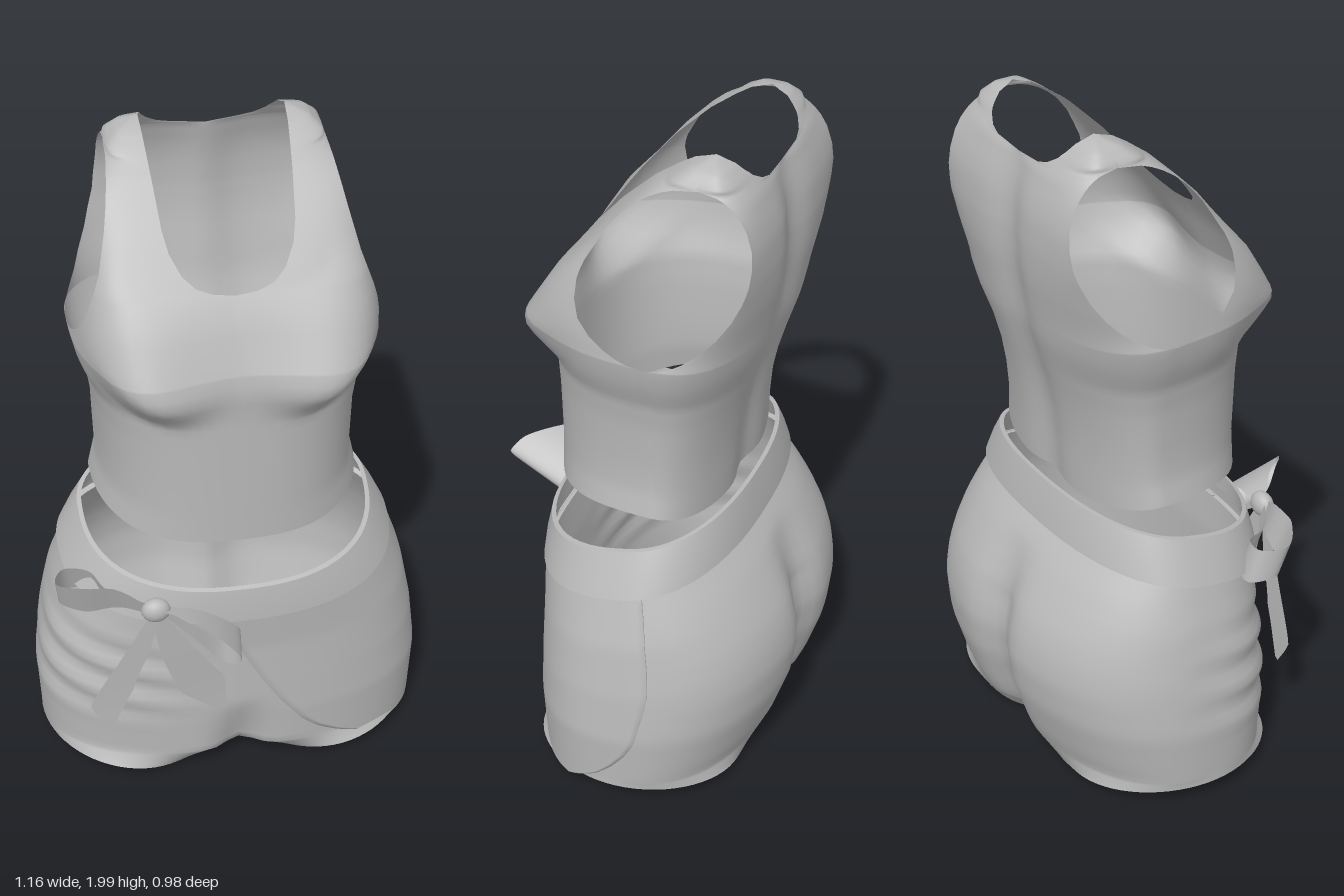
import * as THREE from 'three';
import { mergeVertices, mergeGeometries, toCreasedNormals } from 'three/addons/utils/BufferGeometryUtils.js';

const { sin, cos, abs, pow, exp, sqrt, min, max, atan2, PI } = Math;
const clamp = (v) => min(1, max(0, v));
const bell = (d, s) => exp(-((d / s) ** 2));

// Piecewise-linear lookup in a list of [key, value] pairs
function lookup(table, k) {
  if (k <= table[0][0]) return table[0][1];
  for (let i = 1; i < table.length; i++) {
    const [k0, v0] = table[i - 1], [k1, v1] = table[i];
    if (k <= k1) return v0 + (v1 - v0) * (k - k0) / (k1 - k0);
  }
  return table[table.length - 1][1];
}

// Unit superellipse point: angle 0 is the front, PI / 2 the side
function oval(a, n) {
  const s = sin(a), c = cos(a), r = pow(pow(abs(s), n) + pow(abs(c), n), 1 / n);
  return [s / r, c / r];
}

// Grid surface through fn(column, row) -> [x, y, z]
function surface(cols, rows, fn, flip = false) {
  const pos = [], index = [];
  for (let j = 0; j <= rows; j++) for (let i = 0; i <= cols; i++) pos.push(...fn(i, j));
  for (let j = 0; j < rows; j++) for (let i = 0; i < cols; i++) {
    const a = j * (cols + 1) + i, b = a + 1, d = a + cols + 1, c = d + 1;
    index.push(...(flip ? [a, c, b, a, d, c] : [a, b, c, a, c, d]));
  }
  const g = new THREE.BufferGeometry();
  g.setAttribute('position', new THREE.Float32BufferAttribute(pos, 3));
  g.setIndex(index);
  return g;
}

function smooth(list) {
  const g = mergeVertices(mergeGeometries(list), 1e-4);
  g.computeVertexNormals();
  return g;
}

// ---- Tank top ----
// Half width at the side or armhole edge, for front and back
const SIDE_F = [[0.89, 0.385], [1, 0.365], [1.2, 0.37], [1.3, 0.385], [1.38, 0.415], [1.45, 0.43], [1.5, 0.42],
  [1.6, 0.39], [1.7, 0.355], [1.8, 0.33], [1.9, 0.308], [1.95, 0.295], [1.98, 0.26], [2, 0.2]];
const SIDE_B = [...SIDE_F.slice(0, 6), [1.5, 0.39], [1.6, 0.345], [1.7, 0.315], [1.8, 0.303], [1.9, 0.298], ...SIDE_F.slice(11)];
const TOP_F = [[0.89, 0.23], [1.3, 0.235], [1.4, 0.24], [1.45, 0.23], [1.6, 0.165], [1.7, 0.1], [1.8, 0.02],
  [1.9, -0.08], [1.95, -0.145], [1.98, -0.19], [2, -0.25]];
const TOP_B = [[0.89, -0.285], [1.1, -0.3], [1.2, -0.32], [1.4, -0.375], [1.6, -0.405], [1.7, -0.408], [1.8, -0.4],
  [1.9, -0.365], [1.95, -0.33], [1.98, -0.3], [2, -0.25]];
// Section roundness: 1 is an ellipse, smaller is boxier
const ROUND_F = [[0.89, 0.8], [1.3, 0.76], [1.45, 0.64], [1.75, 0.33]];
const ROUND_B = [[0.89, 0.97], [1.3, 0.9], [1.45, 0.78], [1.75, 0.45]];
const NECK_F = [[1.648, 0], [1.655, 0.06], [1.67, 0.105], [1.7, 0.14], [1.75, 0.168], [1.8, 0.18], [1.9, 0.19], [2, 0.2]];
const NECK_B = [[1.9, 0], [1.91, 0.1], [1.92, 0.135], [1.94, 0.165], [1.96, 0.18], [2, 0.2]];
const TOP_ROWS = [0.89, 0.95, 1, 1.1, 1.2, 1.25, 1.28, 1.3, 1.32, 1.34, 1.36, 1.39, 1.42, 1.45, 1.455, 1.465, 1.48, 1.51,
  1.55, 1.6, 1.648, 1.655, 1.67, 1.7, 1.75, 1.8, 1.85, 1.88, 1.9, 1.91, 1.92, 1.93, 1.94, 1.95, 1.96, 1.97, 1.98, 1.99, 2];

function bust(x, y) {
  const ax = abs(x), d = y - (1.285 + 0.09 * ((ax - 0.18) / 0.18) ** 2);
  return 0.075 * bell(ax - 0.28, 0.15) * clamp(d / 0.09) * clamp(1 - (d - 0.12) / 0.28);
}

function topPanel(side, front) {
  const cols = 18;
  return surface(cols, TOP_ROWS.length - 1, (i, j) => {
    const y = TOP_ROWS[j], edge = lookup(front ? SIDE_F : SIDE_B, y);
    const mid = y < 1.45 ? -0.14 : -0.14 - 0.11 * (y - 1.45) / 0.55;
    const depth = lookup(front ? TOP_F : TOP_B, y) - mid;
    const n = 2 / lookup(front ? ROUND_F : ROUND_B, y);
    // Neckline and armhole limit the angle on each row
    const other = (v) => pow(1 - pow(v, n), 1 / n);
    const hole = (front ? 0.23 : 0.198) * sqrt(max(0, 1 - ((y - 1.695) / 0.245) ** 2));
    const open = min(0.96, hole / max(0.001, abs(depth)));
    const w = edge / other(open);
    const neck = min(1, lookup(front ? NECK_F : NECK_B, y) / w);
    const a0 = atan2(neck, other(neck)), a1 = max(a0, atan2(other(open), open));
    const [ox, oz] = oval(a0 + (a1 - a0) * i / cols, n);
    const x = w * ox;
    let z = mid + depth * oz;
    if (front) z += bust(x, y) * sqrt(max(0, oz));
    else z += 0.025 * bell(x, 0.07) * clamp((2 - y) / 0.2);
    return [side * x, y + 0.04 * pow(ox, 4) * clamp((1.1 - y) / 0.21), z];
  }, side * (front ? 1 : -1) < 0);
}

// ---- Shorts ----
const HIP_W = [[0.05, 0.562], [0.25, 0.572], [0.4, 0.555], [0.55, 0.525], [0.69, 0.475], [0.82, 0.41]];
const HIP_F = [[0.05, 0.235], [0.25, 0.245], [0.55, 0.245], [0.69, 0.255], [0.82, 0.25]];
const HIP_B = [[0.05, -0.4], [0.13, -0.44], [0.25, -0.485], [0.35, -0.5], [0.42, -0.49], [0.48, -0.47], [0.55, -0.43],
  [0.62, -0.385], [0.69, -0.328], [0.82, -0.302]];
const CROTCH = 0.09, HIP_TOP = 0.69, MID = -0.08;

// Hip surface at angle a and level, pushed out by off; the waist tilts up to the back
function hip(a, level, off = 0) {
  const [ox, oz] = oval(a, 2.4);
  const x = (lookup(HIP_W, level) + off) * ox;
  const d = oz > 0 ? lookup(HIP_F, level) - MID + off : MID - lookup(HIP_B, level) + off;
  let z = MID + d * oz;
  if (oz < 0) z += 0.055 * bell(x, 0.075) * clamp((0.64 - level) / 0.2);
  else z -= 0.05 * bell(x, 0.06) * clamp((0.3 - level) / 0.2);
  // Cloth folds on the gathered side
  const fold = 0.009 * sin(level * 52 + x * 9) * clamp(-x * 4 - 0.3) * clamp(0.4 + oz * 1.5)
    * clamp((level - 0.2) * 8) * clamp((0.62 - level) * 8);
  return [x + fold * ox, level - 0.22 * max(0, (level - CROTCH) / 0.6) * (z + 0.03), z + fold * oz];
}

const hips = () => surface(96, 24, (i, j) => hip(i / 96 * 2 * PI, CROTCH + (HIP_TOP - CROTCH) * j / 24));

// One leg: half of the hip loop plus the gusset, blended to the hem
function leg(side) {
  const outer = 48, inner = 16, rows = 5;
  return surface(outer + inner, rows, (i, j) => {
    const t = j / rows, f = max(0, (i - outer) / inner);
    let p, a;
    if (i <= outer) {
      p = hip(i / outer * PI, CROTCH);
      a = -0.8 + (PI + 1.6) * i / outer;
    } else {
      const b = hip(PI, CROTCH), e = hip(0, CROTCH);
      p = [0, CROTCH - 0.02 * sin(f * PI), b[2] + (e[2] - b[2]) * f];
      a = PI + 0.8 + (PI - 1.6) * f;
    }
    const [ox, oz] = oval(a, sin(a) < 0 && cos(a) < 0 ? 3.2 : 1.95);
    const hx = 0.292 + 0.272 * ox;
    const hem = [hx, 0.005 + 0.06 * hx / 0.57, -0.08 + 0.302 * oz];
    const q = p.map((v, k) => v + (hem[k] - v) * t);
    return [side * abs(q[0]), q[1], q[2]];
  }, side > 0);
}

// Overlapping wrap panel with a curved front and back edge
const WRAP_FRONT = [[0.05, 0.744], [0.07, 0.62], [0.1, 0.515], [0.15, 0.39], [0.2, 0.31], [0.3, 0.2], [0.4, 0.11],
  [0.58, -0.04], [0.69, -0.08]];
const WRAP_BACK = [[0.05, 1.19], [0.08, 1.36], [0.11, 1.51], [0.15, 1.63], [0.2, 1.73], [0.25, 1.79], [0.4, 1.86]];
function wrapPanel() {
  const cols = 40;
  return surface(cols, 40, (i, j) => {
    const level = 0.05 + 0.64 * pow(j / 40, 1.4);
    const a0 = lookup(WRAP_FRONT, level), a1 = lookup(WRAP_BACK, level);
    const u = clamp((i - 1) / (cols - 2));
    const edge = i === 0 || i === cols;
    return hip(a0 + (a1 - a0) * u, level, edge ? 0 : 0.012);
  });
}

const BAND = [[0.685, 0], [0.69, 0.017], [0.755, 0.017], [0.81, 0.012], [0.812, 0], [0.75, -0.004]];
const waistband = () => surface(72, BAND.length - 1, (i, j) => hip(i / 72 * 2 * PI, ...BAND[j]));

// ---- Bow ----
// Ribbon along a path; half widths follow the given direction
function ribbon(points, widths, dir) {
  const curve = new THREE.CatmullRomCurve3(points.map((p) => new THREE.Vector3(...p)));
  const n = 40, table = widths.map((w, i) => [i / (widths.length - 1), w]);
  const g = surface(n, 2, (i, j) => {
    const p = curve.getPoint(i / n), w = lookup(table, i / n) * (j - 1);
    return [p.x + dir[0] * w, p.y + dir[1] * w, p.z + dir[2] * w];
  });
  g.computeVertexNormals();
  return g;
}

export function createModel() {
  const model = new THREE.Group();
  model.name = 'outfit';
  const cloth = new THREE.MeshStandardMaterial({ color: 0xb9b9b9, side: THREE.DoubleSide });
  cloth.name = 'grey cloth';
  const add = (name, geometry, parent = model) => {
    const mesh = new THREE.Mesh(geometry, cloth);
    mesh.name = name;
    parent.add(mesh);
    return mesh;
  };

  add('tankTop', smooth([[1, true], [-1, true], [1, false], [-1, false]].map(([s, f]) => topPanel(s, f))));
  add('shorts', smooth([hips(), leg(1), leg(-1)]));
  add('wrapPanel', smooth([wrapPanel()]));
  add('waistband', toCreasedNormals(mergeVertices(waistband(), 1e-4), 0.7));

  const bow = new THREE.Group();
  bow.name = 'bow';
  model.add(bow);
  add('bowLoopRight', ribbon([[-0.27, 0.71, 0.28], [-0.36, 0.73, 0.235], [-0.45, 0.72, 0.215], [-0.52, 0.71, 0.16],
    [-0.49, 0.7, 0.09], [-0.42, 0.695, 0.1], [-0.38, 0.695, 0.18], [-0.27, 0.71, 0.27]],
  [0.02, 0.05, 0.065, 0.05, 0.055, 0.05, 0.04, 0.02], [-0.1, 0.93, 0.3]), bow);
  add('bowLoopLeft', ribbon([[-0.24, 0.71, 0.28], [-0.15, 0.715, 0.33], [-0.07, 0.685, 0.38], [-0.03, 0.64, 0.39],
    [-0.07, 0.595, 0.36], [-0.16, 0.64, 0.3], [-0.24, 0.7, 0.275]],
  [0.02, 0.05, 0.09, 0.112, 0.08, 0.045, 0.02], [-0.15, 0.33, 0.93]), bow);
  add('bowTailRight', ribbon([[-0.26, 0.69, 0.285], [-0.32, 0.53, 0.27], [-0.385, 0.37, 0.255], [-0.39, 0.25, 0.25]],
    [0.02, 0.05, 0.07, 0.008], [0.9, 0.43, 0.1]), bow);
  add('bowTailLeft', ribbon([[-0.25, 0.69, 0.285], [-0.19, 0.53, 0.275], [-0.12, 0.39, 0.265], [-0.06, 0.28, 0.26]],
    [0.02, 0.05, 0.07, 0.012], [0.9, 0.43, 0.1]), bow);
  const knot = add('bowKnot', new THREE.SphereGeometry(0.042, 16, 12), bow);
  knot.position.set(-0.255, 0.71, 0.28);
  knot.scale.set(1, 0.9, 0.7);

  return model;
}
